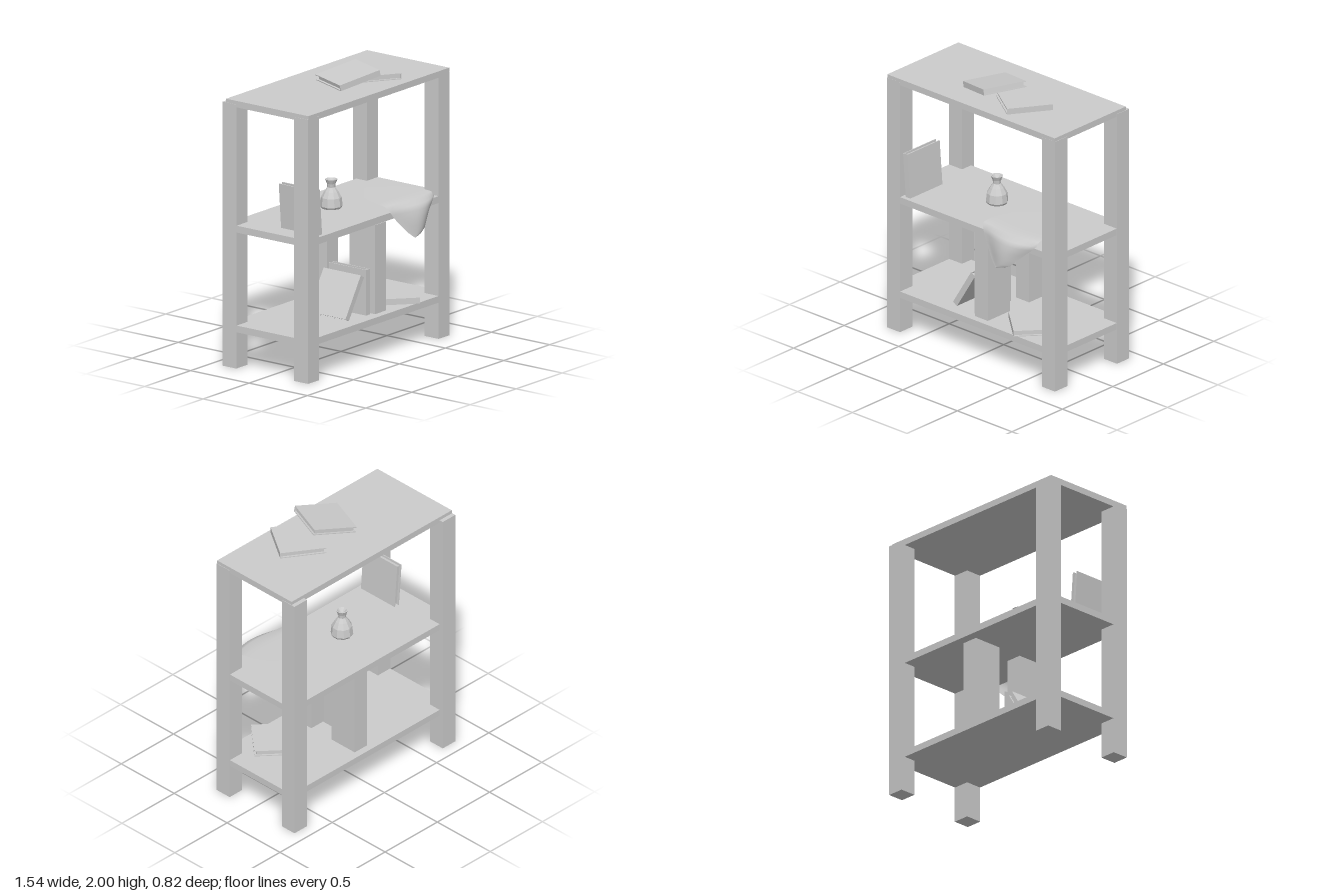
import * as THREE from 'three';

const grey = new THREE.MeshStandardMaterial({ color: 0xcccccc });
const flat = new THREE.MeshStandardMaterial({ color: 0xcccccc, flatShading: true });
const thin = new THREE.MeshStandardMaterial({ color: 0xcccccc, side: THREE.DoubleSide });

// Box given by its min and max corners
function box(name, x0, x1, y0, y1, z0, z1) {
  const mesh = new THREE.Mesh(new THREE.BoxGeometry(x1 - x0, y1 - y0, z1 - z0), grey);
  mesh.name = name;
  mesh.position.set((x0 + x1) / 2, (y0 + y1) / 2, (z0 + z1) / 2);
  return mesh;
}

// Closed book lying flat about its centre, spine towards +z
function book(name, position, turn, tilt) {
  const s = 0.159, h = 0.021, c = 0.006, inset = 0.014;
  const g = new THREE.Group();
  g.name = name;
  g.add(
    box('lowerCover', -s, s, -h, -h + c, -s, s),
    box('upperCover', -s, s, h - c, h, -s, s),
    box('spine', -s, s, -h + c, h - c, s - c, s),
    box('pages', -s + inset, s - inset, -h + c, h - c, -s + inset, s - c)
  );
  g.position.set(...position);
  g.rotation.set(0, turn, tilt, 'YXZ');
  return g;
}

// Low-poly vase
function vase() {
  const profile = [[0, 0], [0.068, 0], [0.077, 0.015], [0.07, 0.075], [0.048, 0.115],
    [0.027, 0.145], [0.03, 0.17], [0.042, 0.2], [0.034, 0.2], [0, 0.16]];
  const mesh = new THREE.Mesh(
    new THREE.LatheGeometry(profile.map(p => new THREE.Vector2(...p)), 10), flat);
  mesh.name = 'vase';
  mesh.position.set(-0.08, 1.02, -0.02);
  return mesh;
}

// Cloth lofted through cross-sections: lying on the shelf, then hanging over its front
function cloth() {
  // y, z at the side edges, x start, x end, forward bulge of the middle
  const rows = [
    [1.058, -0.06, 0.33, 0.38, 0], [1.056, 0.0, 0.25, 0.44, 0], [1.053, 0.07, 0.16, 0.52, 0],
    [1.05, 0.15, 0.12, 0.57, 0], [1.048, 0.24, 0.1, 0.59, 0], [1.04, 0.3, 0.095, 0.6, 0.03],
    [1.015, 0.325, 0.11, 0.6, 0.055], [0.98, 0.335, 0.13, 0.565, 0.06],
    [0.93, 0.35, 0.165, 0.51, 0.055], [0.88, 0.37, 0.21, 0.46, 0.037],
    [0.84, 0.385, 0.245, 0.42, 0.022], [0.815, 0.395, 0.275, 0.37, 0.01],
    [0.8, 0.402, 0.295, 0.305, 0]
  ];
  const n = 14, points = [], index = [];
  rows.forEach(([y, z, x0, x1, bulge], r) => {
    for (let i = 0; i <= n; i++) {
      const u = i / n;
      points.push(x0 + (x1 - x0) * u, y, z + bulge * Math.sin(Math.PI * Math.pow(u, 1.25)));
      if (r && i) {
        const d = r * (n + 1) + i, b = d - n - 1;
        index.push(b - 1, d - 1, b, b, d - 1, d);
      }
    }
  });
  const geo = new THREE.BufferGeometry();
  geo.setAttribute('position', new THREE.Float32BufferAttribute(points, 3));
  geo.setIndex(index);
  geo.computeVertexNormals();
  const mesh = new THREE.Mesh(geo, thin);
  mesh.name = 'cloth';
  return mesh;
}

export function createModel() {
  const model = new THREE.Group();
  model.name = 'bookshelf';

  // Four square legs
  for (const s of [-1, 1]) {
    const x0 = s < 0 ? -0.77 : 0.65;
    model.add(box('frontLeg', x0, x0 + 0.12, 0, 1.845, 0.203, 0.325));
    model.add(box('backLeg', x0, x0 + 0.12, 0, 1.845, -0.41, -0.29));
  }

  // Shelf boards and top
  for (const [name, y0, y1] of [['lowerShelf', 0.253, 0.3], ['middleShelf', 0.95, 0.998], ['topBoard', 1.825, 1.87]])
    model.add(box(name, -0.767, 0.767, y0, y1, -0.38, 0.324));

  // Tall boxes on the lower shelf
  model.add(box('frontFileBox', 0.003, 0.122, 0.31, 0.932, 0.07, 0.29));
  model.add(box('backFileBox', 0.003, 0.122, 0.31, 0.932, -0.34, -0.12));

  // Books: position, turn about y, tilt
  model.add(
    book('flatTopBook', [0.25, 1.908, 0.065], 0.985, 0),
    book('tiltedTopBook', [-0.015, 1.947, 0.073], -0.366, 0.2),
    book('leaningShelfBook', [-0.615, 1.156, 0.137], 0, Math.PI / 2 + 0.08),
    book('uprightBook', [-0.019, 0.461, 0.088], 0, Math.PI / 2),
    book('slantedBook', [-0.147, 0.444, 0.075], 0, Math.PI / 2 - 0.55),
    book('flatLowerBook', [0.4, 0.325, 0.127], -0.72, 0)
  );

  model.add(vase(), cloth());
  return model;
}
